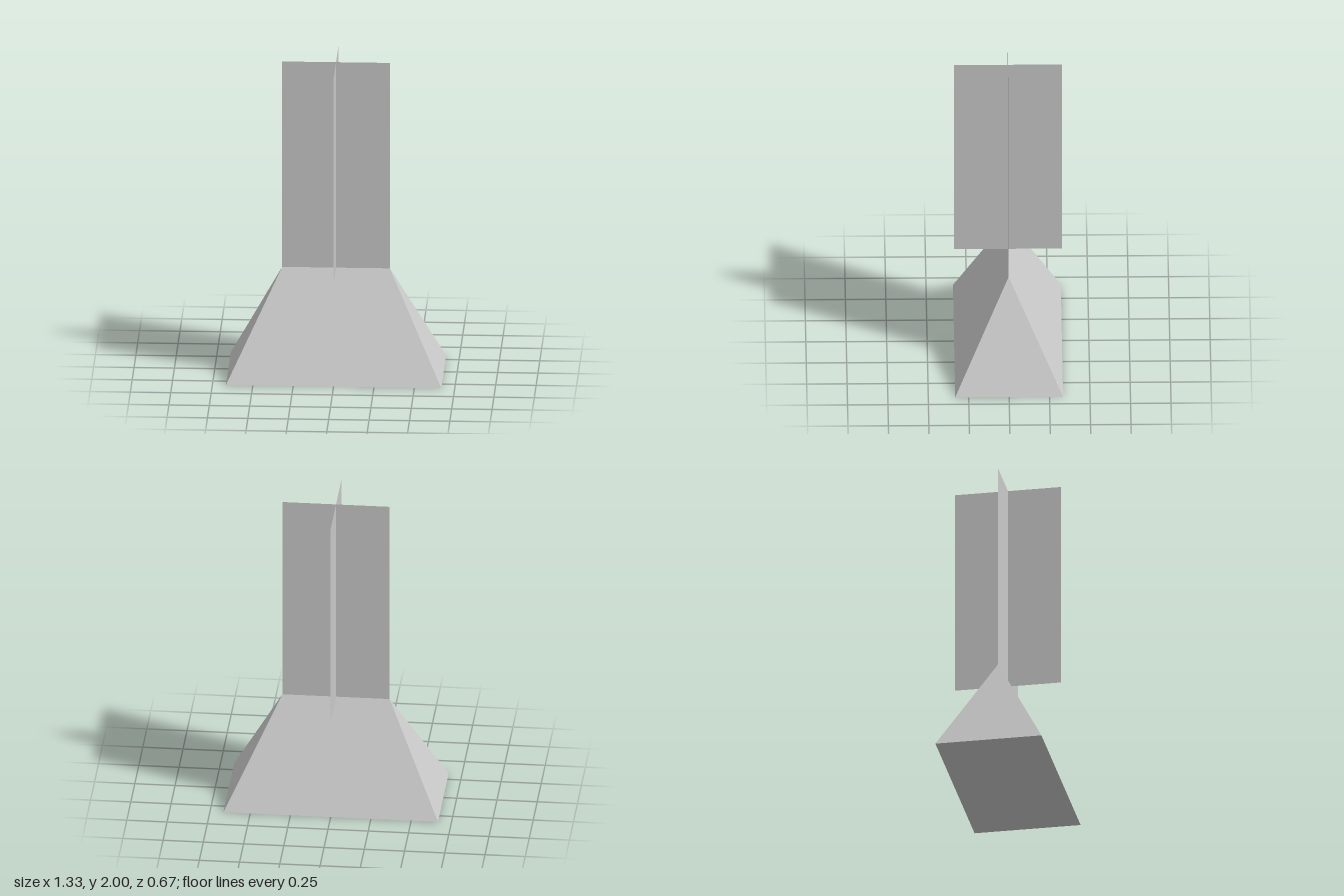
import * as THREE from 'three';
import { ConvexGeometry } from 'three/addons/geometries/ConvexGeometry.js';

const U = 1 / 3; // half width of the blades and of the ridge
const RIDGE_Y = 2 * U;
const TOP_Y = 2;

export function createModel() {
  const model = new THREE.Group();
  model.name = 'finnedWedge';

  // Solid hipped base: rectangular foot rising to a ridge along x
  const corners = [];
  for (const sx of [-1, 1]) {
    corners.push(new THREE.Vector3(sx * U, RIDGE_Y, 0));
    for (const sz of [-1, 1]) corners.push(new THREE.Vector3(sx * 2 * U, 0, sz * U));
  }
  const base = new THREE.Mesh(
    new ConvexGeometry(corners),
    new THREE.MeshStandardMaterial({ color: 0xcccccc, flatShading: true })
  );
  base.name = 'base';
  model.add(base);

  // Two thin upright sheets crossing at the centre
  const sheetMaterial = new THREE.MeshStandardMaterial({ color: 0xcccccc, side: THREE.DoubleSide });
  const sheet = new THREE.PlaneGeometry(2 * U, TOP_Y - RIDGE_Y);
  for (const [name, turn] of [['wideBlade', 0], ['crossBlade', Math.PI / 2]]) {
    const blade = new THREE.Mesh(sheet, sheetMaterial);
    blade.name = name;
    blade.position.y = (TOP_Y + RIDGE_Y) / 2;
    blade.rotation.y = turn;
    model.add(blade);
  }

  return model;
}
